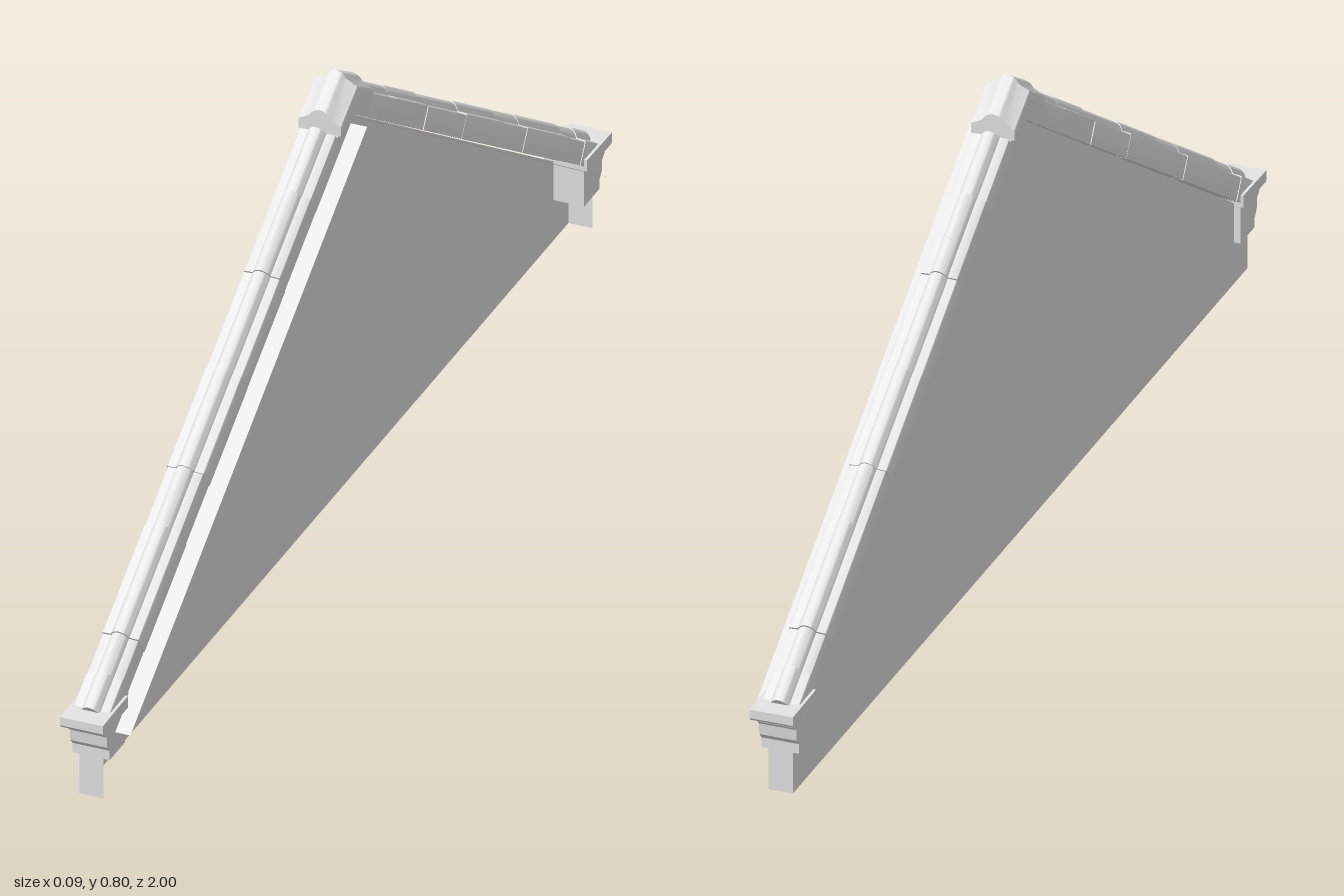
import * as THREE from 'three';
import { toCreasedNormals } from 'three/addons/utils/BufferGeometryUtils.js';

const SLOPE = 0.642;
const ANGLE = Math.atan(SLOPE);
const CX = -0.0105; // centre line of the coping across the wall
const WALL_X = -0.031; // plane of the wall sheet
const CREASE = 0.8;

// Extrude a (z, y) outline between two x positions
function acrossX(points, x0, x1) {
  const shape = new THREE.Shape(points.map(([z, y]) => new THREE.Vector2(z, y)));
  const g = new THREE.ExtrudeGeometry(shape, { depth: x1 - x0, bevelEnabled: false });
  g.rotateY(-Math.PI / 2);
  g.translate(x1, 0, 0);
  return g;
}

// Flat sheet spanning x0..x1 that runs from (z0, y0) to (z1, y1)
function strip([z0, y0], [z1, y1], x0, x1) {
  const g = new THREE.PlaneGeometry(x1 - x0, Math.hypot(z1 - z0, y1 - y0));
  g.rotateX(Math.atan2(z1 - z0, y1 - y0));
  g.translate((x0 + x1) / 2, (y0 + y1) / 2, (z0 + z1) / 2);
  return g;
}

// Coping cross-section: straight sides, eased corners, shoulders and a round roll; roll top at 0
function copingShape(half, depth, edge, shoulder) {
  const s = new THREE.Shape();
  s.moveTo(-half, -depth);
  s.lineTo(half, -depth);
  s.lineTo(half, -edge - 0.003);
  s.quadraticCurveTo(half, -edge, half - 0.003, -edge);
  s.lineTo(half * 0.5, -shoulder);
  s.quadraticCurveTo(half * 0.3, -0.001, 0, 0);
  s.quadraticCurveTo(-half * 0.3, -0.001, -half * 0.5, -shoulder);
  s.lineTo(-half + 0.003, -edge);
  s.quadraticCurveTo(-half, -edge, -half, -edge - 0.003);
  s.closePath();
  return s;
}

// Extrude a section away from the ridge, dropping with the slope but keeping upright ends
function sheared(shape, length, apexY, slope) {
  const g = new THREE.ExtrudeGeometry(shape, { depth: length, bevelEnabled: false, curveSegments: 5 });
  const p = g.attributes.position;
  for (let i = 0; i < p.count; i++) p.setY(i, p.getY(i) + apexY - slope * p.getZ(i));
  return toCreasedNormals(g, CREASE);
}

export function createModel() {
  const model = new THREE.Group();
  model.name = 'gableParapet';
  const stone = new THREE.MeshStandardMaterial({ color: 0xe4e4e4, side: THREE.DoubleSide });
  stone.name = 'pale stone';

  const add = (parent, name, geometry) => {
    const m = new THREE.Mesh(geometry, stone);
    m.name = name;
    parent.add(m);
    return m;
  };

  // Gable wall: a single sheet, open towards the left and below
  const outline = [[-0.96, 0], [0.96, 0], [0.96, 0.105], [0, 0.725], [-0.96, 0.105]];
  const wall = new THREE.ShapeGeometry(new THREE.Shape(outline.map(([z, y]) => new THREE.Vector2(z, y))));
  wall.rotateY(-Math.PI / 2);
  wall.translate(WALL_X, 0, 0);
  add(model, 'gableWall', wall);

  // Joints between coping stones, as distance from the ridge
  const joints = [0.08, 0.178, 0.3, 0.45, 0.6, 0.69, 0.855, 0.917, 0.972];
  // Small differences in height and width between neighbouring stones
  const lift = [0, 0.001, -0.001, 0.001, 0, 0.001, -0.001, 0.001];
  const widen = [0, -0.0006, 0.0004, 0.0008, -0.0005, 0.0005, -0.0006, 0.0006];

  for (const side of [1, -1]) {
    const half = new THREE.Group();
    half.name = side > 0 ? 'frontSlope' : 'backSlope';
    half.position.x = CX;
    half.rotation.y = side > 0 ? 0 : Math.PI;
    model.add(half);

    // Coping stones
    for (let i = 0; i < joints.length - 1; i++) {
      const z0 = joints[i], length = (joints[i + 1] - z0) / Math.cos(ANGLE);
      const g = new THREE.ExtrudeGeometry(copingShape(0.031 + widen[i], 0.054 + lift[i], 0.015, 0.0135),
        { depth: length, bevelEnabled: false, curveSegments: 5 });
      const stoneMesh = add(half, 'copingStone', toCreasedNormals(g, CREASE));
      stoneMesh.rotation.x = ANGLE;
      stoneMesh.position.set(0, 0.789 - SLOPE * z0 + lift[i], z0);
    }

    // Half of the ridge cap and the plain bed below it
    add(half, 'ridgeCap', sheared(copingShape(0.0365, 0.04, 0.021, 0.013), 0.064, 0.799, 0.61));
    const bed = new THREE.Shape([[-0.031, 0], [0.031, 0], [0.031, 0.036], [-0.031, 0.036]]
      .map(([x, y]) => new THREE.Vector2(x, y)));
    add(half, 'ridgeBed', sheared(bed, 0.1, 0.725, SLOPE));

    // Moulded kneeler at the eaves
    add(half, 'kneeler', acrossX(
      [[0.902, 0.073], [0.962, 0.073], [0.962, 0.09], [0.971, 0.1], [0.973, 0.12], [0.981, 0.127],
        [0.984, 0.138], [0.902, 0.138]], -0.0315, 0.0315));
    add(half, 'kneelerLip', acrossX(
      [[0.902, 0.137], [0.997, 0.137], [1, 0.141], [1, 0.156], [0.902, 0.158]],
      -0.0365, 0.0365));

    // End return of the wall
    add(model, 'wallReturn', strip([0.96 * side, 0], [0.96 * side, 0.105], WALL_X, 0.01));

    // Flashing sheet below the coping, on the left face only
    add(model, 'flashing', strip([0.01 * side, 0.714], [0.94 * side, 0.112], 0, 0.047));
  }

  return model;
}
